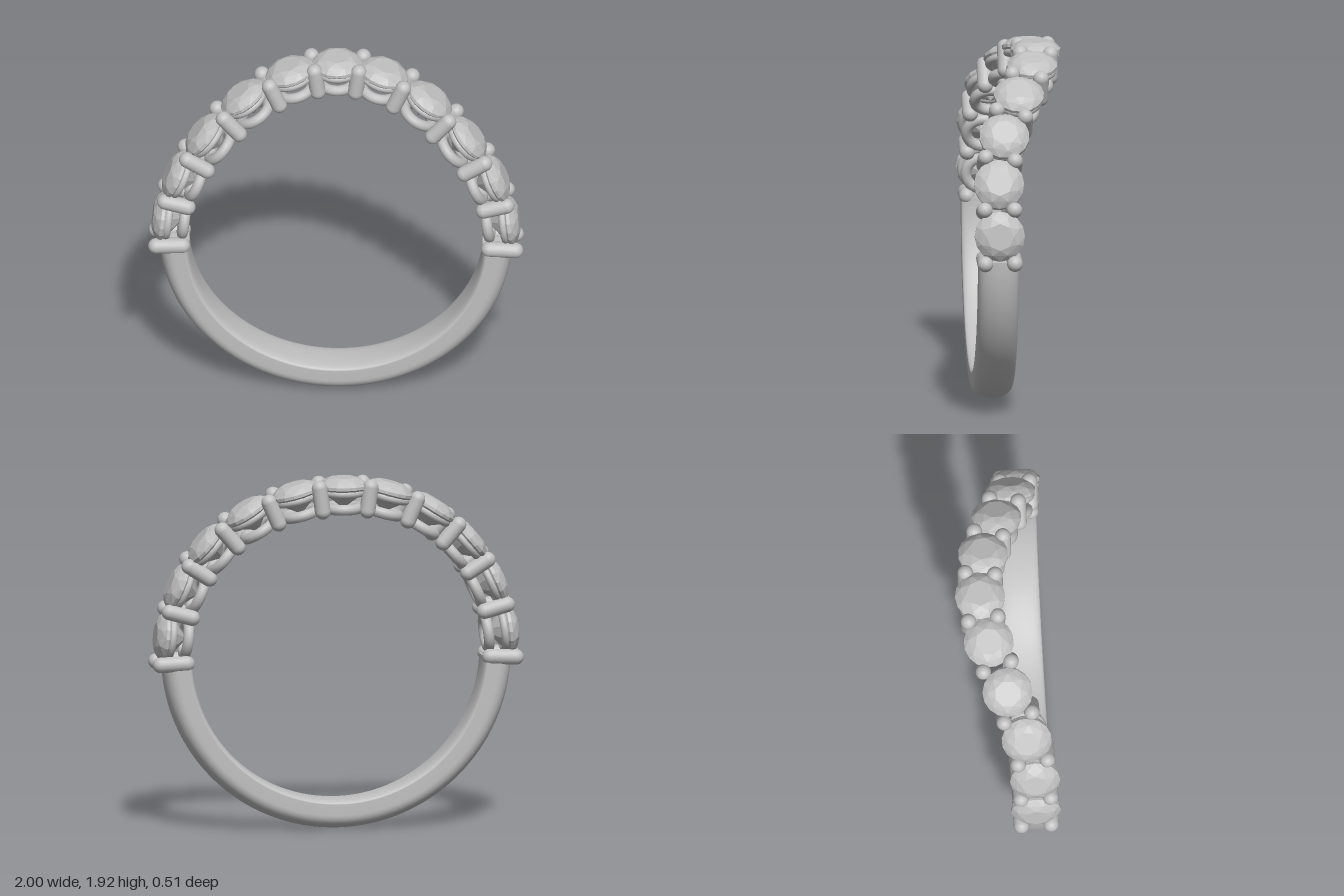
import * as THREE from 'three';
import { ConvexGeometry } from 'three/addons/geometries/ConvexGeometry.js';

const CENTER_Y = 0.94, INNER = 0.78, OUTER = 0.94, BAND_Z = 0.124;
const rad = THREE.MathUtils.degToRad;

// Sideways sweep of the jewelled half: straight at the shoulders, pulled back at the top
function sweepZ(a) {
  const t = Math.min(Math.abs(a) * 1.36, Math.PI / 2);
  return 0.122 - 0.242 * Math.cos(t) ** 2;
}

// Local frame on the ring: x along the row, y outward, z across the row
function frameAt(a, r) {
  const out = new THREE.Vector3(Math.sin(a), Math.cos(a), 0);
  const slope = (sweepZ(a + 0.001) - sweepZ(a - 0.001)) / 0.002;
  const along = new THREE.Vector3(0.93 * Math.cos(a), -0.93 * Math.sin(a), slope).normalize();
  const across = new THREE.Vector3().crossVectors(along, out);
  const m = new THREE.Matrix4().makeBasis(along, out, across);
  return m.setPosition(out.x * r, CENTER_Y + out.y * r, sweepZ(a));
}

function place(object, matrix) {
  matrix.decompose(object.position, object.quaternion, object.scale);
  return object;
}

function ringOfPoints(points, n, radius, y, offset = 0) {
  for (let i = 0; i < n; i++) {
    const a = ((i + offset) / n) * Math.PI * 2;
    points.push(new THREE.Vector3(Math.cos(a) * radius, y, Math.sin(a) * radius));
  }
}

// Faceted round gem; y = 0 at the girdle
function gemGeometry() {
  const p = [];
  ringOfPoints(p, 8, 0.072, 0.05);
  ringOfPoints(p, 8, 0.108, 0.034, 0.5);
  ringOfPoints(p, 16, 0.134, 0.008);
  ringOfPoints(p, 16, 0.134, -0.008);
  ringOfPoints(p, 8, 0.075, -0.062, 0.5);
  p.push(new THREE.Vector3(0, -0.118, 0));
  return new ConvexGeometry(p);
}

// Plain half band with rounded outer edges and capped ends
function makeBand(metal) {
  const group = new THREE.Group();
  group.name = 'band';
  const w = 0.108;
  const s = new THREE.Shape();
  s.moveTo(INNER, 0);
  s.quadraticCurveTo(INNER, -w, INNER + 0.025, -w);
  s.lineTo(OUTER - 0.075, -w);
  s.bezierCurveTo(OUTER - 0.03, -w, OUTER, -0.065, OUTER, 0);
  s.bezierCurveTo(OUTER, 0.065, OUTER - 0.03, w, OUTER - 0.075, w);
  s.lineTo(INNER + 0.025, w);
  s.quadraticCurveTo(INNER, w, INNER, 0);

  const end = rad(88);
  const shank = new THREE.Mesh(
    new THREE.LatheGeometry(s.getPoints(10), 96, -end, end * 2), metal);
  shank.name = 'shank';
  shank.rotation.x = Math.PI / 2;
  group.add(shank);

  for (const side of [-1, 1]) {
    const cap = new THREE.Mesh(new THREE.ShapeGeometry(s, 10), metal);
    cap.name = side > 0 ? 'leftBandEnd' : 'rightBandEnd';
    const x = new THREE.Vector3(side * Math.sin(end), -Math.cos(end), 0);
    const y = new THREE.Vector3(0, 0, 1);
    place(cap, new THREE.Matrix4().makeBasis(x, y, new THREE.Vector3().crossVectors(x, y)));
    group.add(cap);
  }
  group.position.set(0, CENTER_Y, BAND_Z);
  return group;
}

export function createModel() {
  const model = new THREE.Group();
  model.name = 'gemRing';
  const metal = new THREE.MeshStandardMaterial({ color: 0xc0c0c0, side: THREE.DoubleSide });
  metal.name = 'silver grey';

  model.add(makeBand(metal));

  // Gems, each held in an upper and a lower ring
  const gemGeo = gemGeometry();
  const upperGeo = new THREE.TorusGeometry(0.105, 0.022, 12, 40).rotateX(Math.PI / 2);
  const lowerGeo = new THREE.TorusGeometry(0.085, 0.029, 12, 40).rotateX(Math.PI / 2);
  const gemAngles = [0, 15.6, 32.3, 49.4, 66.2, 83.3];
  const prongAngles = [7.8, 23.6, 40.9, 57.8, 74.7, 92.1];

  for (const side of [-1, 1]) {
    gemAngles.forEach((deg, i) => {
      if (i === 0 && side < 0) return;
      const setting = new THREE.Group();
      setting.name = 'gemSetting';
      const gem = new THREE.Mesh(gemGeo, metal);
      gem.name = 'gem';
      gem.position.y = 0.932;
      const upper = new THREE.Mesh(upperGeo, metal);
      upper.name = 'upperRing';
      upper.position.y = 0.902;
      const lower = new THREE.Mesh(lowerGeo, metal);
      lower.name = 'lowerRing';
      lower.position.y = 0.815;
      setting.add(gem, upper, lower);
      model.add(place(setting, frameAt(side * rad(deg), 0)));
    });

    // Pairs of round-ended prongs between the gems
    prongAngles.forEach((deg, i) => {
      const bottom = 0.775, top = i === 5 ? 1.0 : 0.985, r = 0.042;
      const geo = new THREE.CapsuleGeometry(r, top - bottom - 2 * r, 8, 20);
      const pair = new THREE.Group();
      pair.name = 'prongPair';
      for (const z of [-0.079, 0.079]) {
        const prong = new THREE.Mesh(geo, metal);
        prong.name = 'prong';
        prong.position.set(0, (top + bottom) / 2, z);
        pair.add(prong);
      }
      model.add(place(pair, frameAt(side * rad(deg), 0)));
    });
  }
  return model;
}
